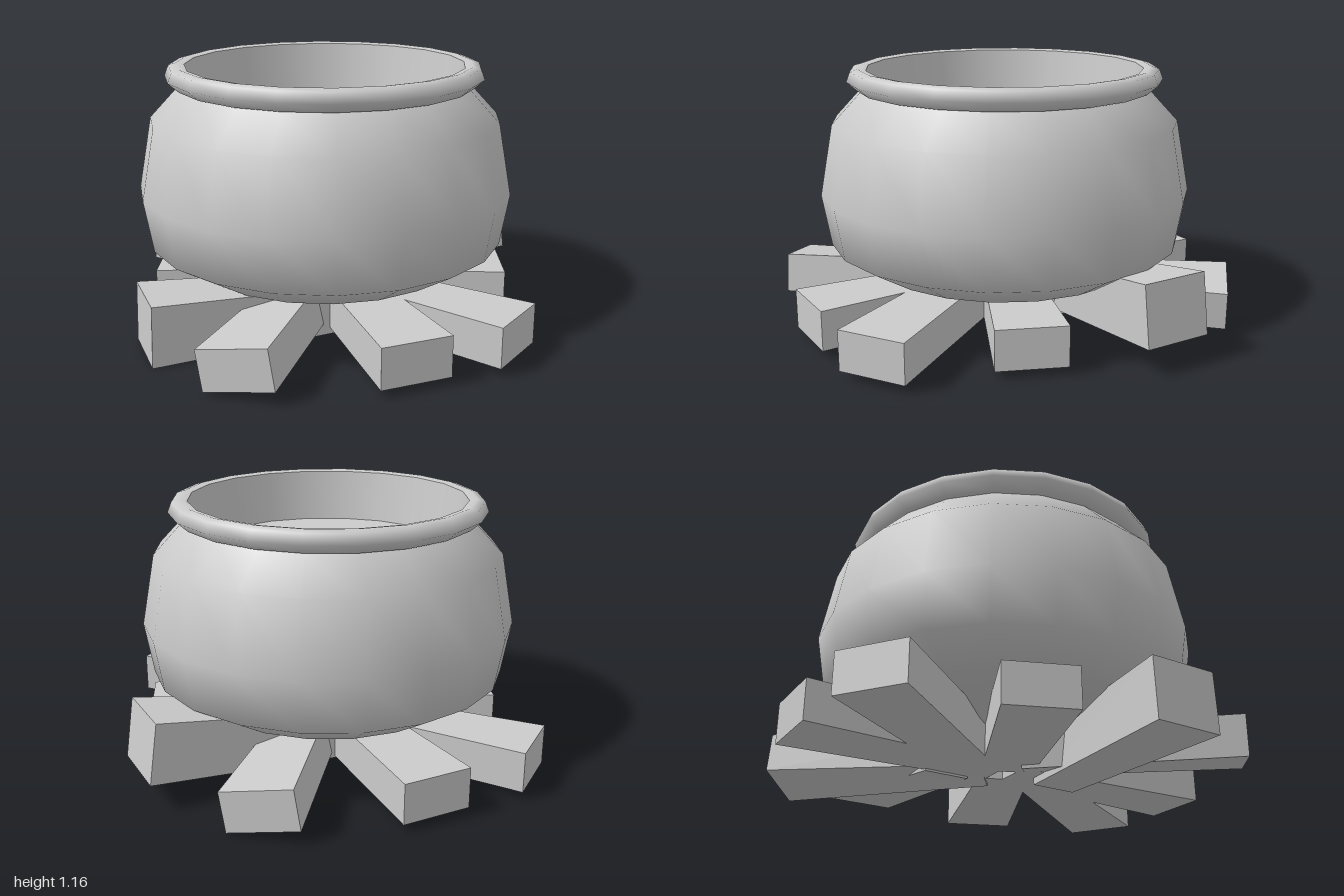
import * as THREE from 'three';

const SIDES = 20;
const material = new THREE.MeshStandardMaterial({ color: 0xcccccc, side: THREE.DoubleSide });

function lathe(name, points) {
  const profile = points.map(([r, y]) => new THREE.Vector2(r, y));
  const mesh = new THREE.Mesh(new THREE.LatheGeometry(profile, SIDES), material);
  mesh.name = name;
  return mesh;
}

// Log that narrows towards its inner end; its origin is the middle of the outer end
function makeLog({ x, z, dx, dz, y = 0.13, h = 0.18, innerH = h, length = 0.95, tilt = 0, roll = 0 }) {
  const outerW = 0.31;
  const innerW = outerW - 0.11 * length;
  const geo = new THREE.BoxGeometry(outerW, h, length).translate(0, 0, -length / 2);
  const pos = geo.attributes.position;
  for (let i = 0; i < pos.count; i++) {
    if (pos.getZ(i) < -length / 2) {
      pos.setX(i, pos.getX(i) * innerW / outerW);
      pos.setY(i, pos.getY(i) * innerH / h);
    }
  }
  geo.computeVertexNormals();
  const mesh = new THREE.Mesh(geo, material);
  mesh.rotation.set(-tilt, Math.atan2(dx, dz), roll, 'YXZ');
  mesh.position.set(x, y, z);
  return mesh;
}

export function createModel() {
  const model = new THREE.Group();
  model.name = 'cauldronOnLogs';

  // Round pot with rolled rim and contents
  const pot = new THREE.Group();
  pot.name = 'pot';
  pot.position.set(-0.05, 0, -0.01);
  pot.add(lathe('potBody', [
    [0, 0.17], [0.32, 0.185], [0.62, 0.25], [0.81, 0.365], [0.85, 0.6], [0.79, 0.92], [0.65, 1.07],
  ]));
  pot.add(lathe('rim', [
    [0.63, 1.065], [0.67, 1.068], [0.718, 1.11], [0.7, 1.155], [0.665, 1.165], [0.63, 1.158],
  ]));
  pot.add(lathe('innerWall', [[0.63, 1.158], [0.6, 0.92]]));
  const contents = new THREE.Mesh(new THREE.CircleGeometry(0.6, SIDES).rotateX(-Math.PI / 2), material);
  contents.name = 'contents';
  contents.position.y = 0.92;
  pot.add(contents);
  model.add(pot);

  // Ring of logs: outer end position and outward direction of each
  const logs = new THREE.Group();
  logs.name = 'logs';
  [
    { x: -0.05, z: 0.977, dx: 0, dz: 1 },
    { x: 0.45, z: 0.905, dx: 0.55, dz: 0.84 },
    { x: 0.71, z: 0.315, dx: 0.92, dz: 0.38, length: 0.75 },
    { x: 0.947, z: -0.23, dx: 1, dz: 0, y: 0.265, h: 0.27, innerH: 0.22, length: 0.9, tilt: 0.14 },
    { x: 0.66, z: -0.775, dx: 0.66, dz: -0.75, roll: 0.16 },
    { x: -0.02, z: -0.994, dx: 0.02, dz: -1 },
    { x: -0.575, z: -0.91, dx: -0.58, dz: -0.81 },
    { x: -0.77, z: -0.3, dx: -0.92, dz: -0.38, length: 0.75 },
    { x: -0.967, z: 0.24, dx: -1, dz: 0, y: 0.14, h: 0.27, innerH: 0.21, length: 0.9, tilt: 0.03 },
    { x: -0.73, z: 0.778, dx: -0.645, dz: 0.765, roll: 0.16 },
  ].forEach((spec, i) => {
    const log = makeLog(spec);
    log.name = `log${i + 1}`;
    logs.add(log);
  });
  model.add(logs);

  return model;
}
